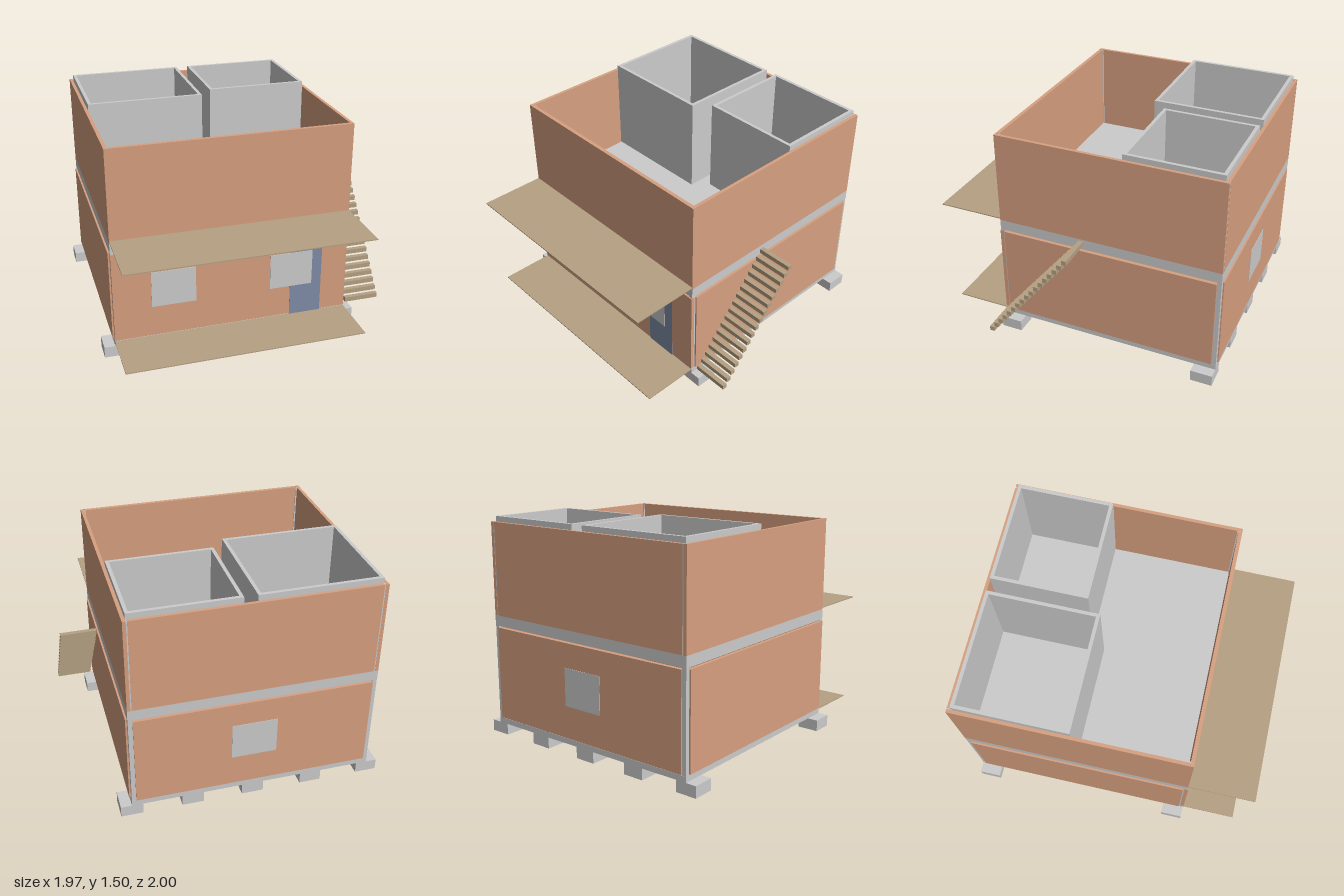
import * as THREE from 'three';

const mat = (color) => new THREE.MeshStandardMaterial({ color, side: THREE.DoubleSide });

export function createModel() {
  const model = new THREE.Group();
  const grey = mat(0xcccccc);
  const clay = mat(0xd7a080);
  const wood = mat(0xb5a183);
  const blue = mat(0x7f8ba6);

  // Box given by its limits on each axis
  const box = (name, material, x0, x1, y0, y1, z0, z1, parent = model) => {
    const mesh = new THREE.Mesh(new THREE.BoxGeometry(x1 - x0, y1 - y0, z1 - z0), material);
    mesh.position.set((x0 + x1) / 2, (y0 + y1) / 2, (z0 + z1) / 2);
    mesh.name = name;
    parent.add(mesh);
    return mesh;
  };
  const group = (name) => {
    const g = new THREE.Group();
    g.name = name;
    model.add(g);
    return g;
  };
  // Rectangular ring of four walls of thickness t, without overlaps
  const ring = (name, material, x0, x1, y0, y1, z0, z1, t) => {
    const g = group(name);
    box(name + 'Back', material, x0, x1, y0, y1, z0, z0 + t, g);
    box(name + 'Front', material, x0, x1, y0, y1, z1 - t, z1, g);
    box(name + 'Right', material, x0, x0 + t, y0, y1, z0 + t, z1 - t, g);
    box(name + 'Left', material, x1 - t, x1, y0, y1, z0 + t, z1 - t, g);
    return g;
  };

  // Outline of the house
  const X0 = -0.915, X1 = 0.71, Z0 = -0.99, Z1 = 0.55, T = 0.03;

  // Footings in two rows of five
  const footings = group('footings');
  for (let i = 0; i < 5; i++) {
    const x = X0 + (i * (X1 - X0)) / 4;
    box('footing', grey, x - 0.073, x + 0.073, 0, 0.077, Z1 - 0.147, Z1, footings);
    box('footing', grey, x - 0.073, x + 0.073, 0, 0.077, Z0, Z0 + 0.147, footings);
  }

  // Ground beams, with two joists inside
  ring('groundBeam', grey, X0, X1, 0.077, 0.115, Z0, Z1, T);
  for (const x of [-0.51, 0.305]) {
    box('groundJoist', grey, x - 0.016, x + 0.016, 0.077, 0.115, Z0 + T, Z1 - T);
  }

  // Corner columns
  const columns = group('columns');
  for (const x of [X0 + 0.001, X1 - T - 0.001]) {
    for (const z of [Z0 + 0.001, Z1 - T - 0.003]) {
      box('column', grey, x, x + T, 0.115, 1.464, z, z + T, columns);
    }
  }

  // Lower walls, standing slightly proud of the frame
  box('lowerFrontWall', clay, X0, X1, 0.12, 0.755, Z1 - 0.02, Z1 + 0.005);
  box('lowerBackWall', clay, X0 + T, X1 - T, 0.12, 0.755, Z0 - 0.007, Z0 + 0.02);
  box('lowerRightWall', clay, X0 - 0.01, X0 + 0.015, 0.12, 0.755, Z0 + T, Z1 - T);
  box('lowerLeftWall', clay, X1 - 0.015, X1 + 0.01, 0.12, 0.755, Z0 + T, Z1 - T);

  // Ring beam and floor of the upper storey
  ring('ringBeam', grey, X0, X1, 0.765, 0.837, Z0, Z1, T);
  box('upperFloor', grey, X0 + T, X1 - T, 0.825, 0.846, Z0 + T, Z1 - T);

  // Upper walls
  box('upperFrontWall', clay, X0 + 0.025, X1 - 0.025, 0.837, 1.466, Z1 - 0.025, Z1 - 0.002);
  box('upperFrontFace', clay, X0, X1, 0.837, 1.466, Z1 - 0.002, Z1);
  box('upperBackWall', clay, X0 + T, X1 - T, 0.837, 1.466, Z0, Z0 + 0.022);
  box('upperRightWall', clay, X0, X0 + 0.022, 0.837, 1.466, Z0, Z1 - 0.002);
  box('upperLeftWall', clay, X1 - 0.022, X1, 0.837, 1.466, Z0, Z1 - 0.002);

  // Open-topped rooms on the upper floor
  ring('largeRoom', grey, -0.89, -0.097, 0.846, 1.502, -0.965, -0.217, 0.023);
  ring('smallRoom', grey, -0.011, 0.688, 0.846, 1.502, -0.965, -0.318, 0.023);

  // Door and windows
  box('door', blue, 0.302, 0.527, 0.115, 0.637, Z1, Z1 + 0.007);
  for (const x of [-0.66, 0.157]) {
    box('frontWindow', grey, x, x + 0.3, 0.338, 0.592, Z1, Z1 + 0.01);
  }
  box('backWindow', grey, -0.25, 0.05, 0.338, 0.592, Z0 - 0.01, Z0);

  // Porch deck and the canopy above it
  box('porchDeck', wood, X0, X1, 0.107, 0.114, Z1, 0.925);
  box('canopy', wood, X0, X1, 0.845, 0.852, Z1, 1);

  // Outside stair of separate treads
  const stair = group('stair');
  for (let i = 0; i < 17; i++) {
    const y = 0.134 + (i * 0.697) / 16;
    const z = 0.509 - (i * 0.565) / 16;
    box('tread', wood, 0.74, 0.985, y - 0.016, y + 0.016, z - 0.016, z + 0.016, stair);
  }

  return model;
}
